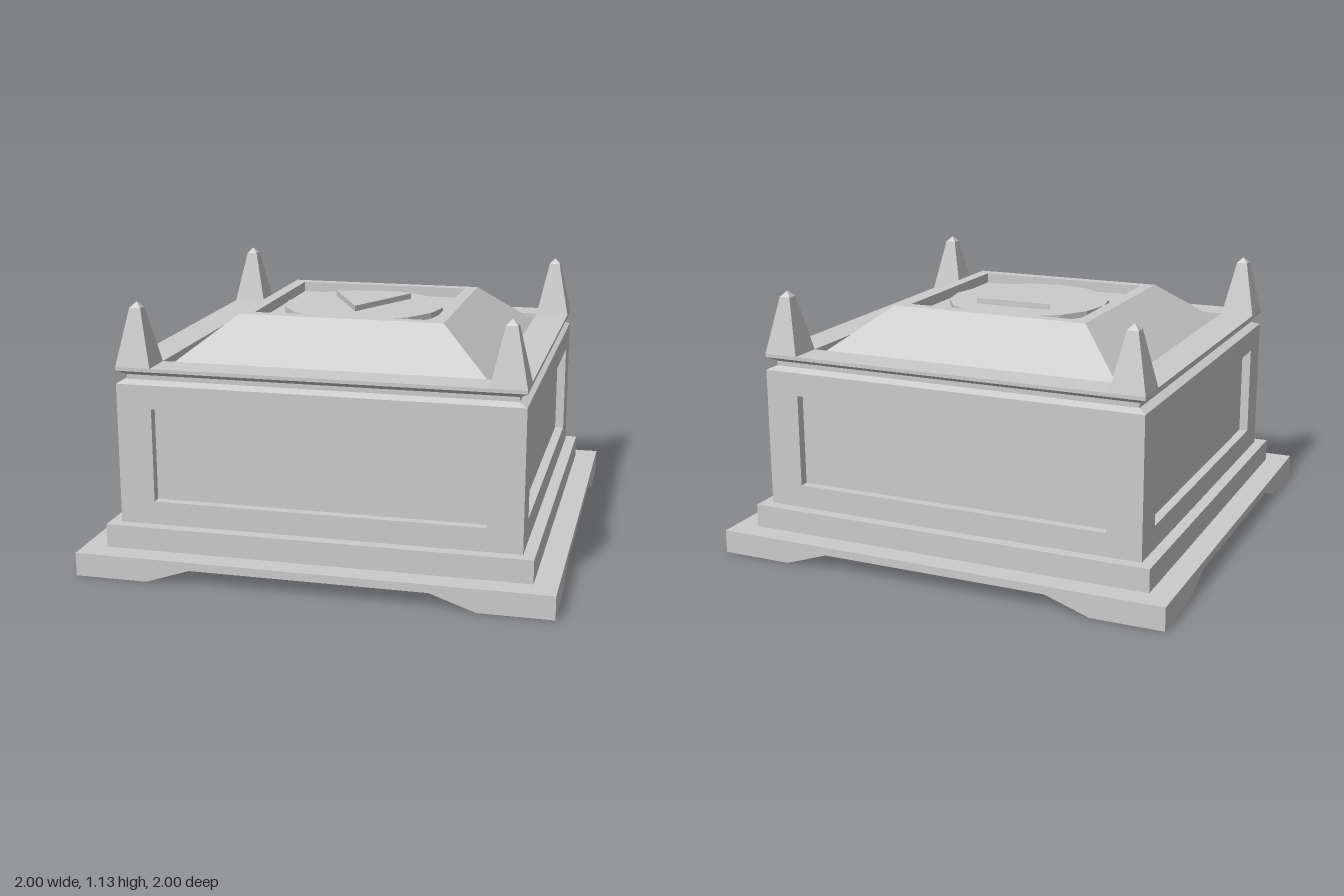
import * as THREE from 'three';

const material = new THREE.MeshStandardMaterial({ color: 0xcccccc, flatShading: true, side: THREE.DoubleSide });

function addMesh(parent, name, geometry) {
  const flat = geometry.index ? geometry.toNonIndexed() : geometry;
  flat.computeVertexNormals();
  const mesh = new THREE.Mesh(flat, material);
  mesh.name = name;
  parent.add(mesh);
  return mesh;
}

// Square shell swept around the y axis; profile holds [half width, height]
function squareShell(profile) {
  const points = profile.map(([half, y]) => new THREE.Vector2(half * Math.SQRT2, y));
  return new THREE.LatheGeometry(points, 4).rotateY(Math.PI / 4);
}

function polygon(points) {
  return new THREE.Shape(points.map(([x, y]) => new THREE.Vector2(x, y)));
}

// One side: notched base board, wall with an opening, and a sunken panel
function createSide(name) {
  const side = new THREE.Group();
  side.name = name;

  const board = polygon([[-1, 0], [-0.69, 0], [-0.5, 0.065], [0.5, 0.065], [0.69, 0], [1, 0], [1, 0.1], [-1, 0.1]]);
  addMesh(side, 'baseBoard', new THREE.ShapeGeometry(board)).position.z = 1;

  const wall = polygon([[-0.85, 0.2], [0.85, 0.2], [0.85, 0.8], [-0.85, 0.8]]);
  wall.holes.push(polygon([[-0.7, 0.3], [-0.7, 0.7], [0.7, 0.7], [0.7, 0.3]]));
  addMesh(side, 'wall', new THREE.ShapeGeometry(wall)).position.z = 0.85;

  const reveal = new THREE.CylinderGeometry(Math.SQRT1_2, Math.SQRT1_2, 1, 4, 1, true)
    .rotateY(Math.PI / 4).rotateX(Math.PI / 2).scale(1.4, 0.4, 0.04);
  addMesh(side, 'panelReveal', reveal).position.set(0, 0.5, 0.83);
  addMesh(side, 'sunkenPanel', new THREE.PlaneGeometry(1.4, 0.4)).position.set(0, 0.5, 0.81);
  return side;
}

export function createModel() {
  const model = new THREE.Group();
  model.name = 'pedestalChest';

  ['frontSide', 'leftSide', 'backSide', 'rightSide'].forEach((name, i) => {
    const side = createSide(name);
    side.rotation.y = i * Math.PI / 2;
    model.add(side);
  });

  // Stepped plinth above the base boards
  addMesh(model, 'plinth', squareShell([[1, 0.1], [0.9, 0.1], [0.9, 0.2], [0.85, 0.2]]));

  // Grooved cornice with its flat rim
  addMesh(model, 'cornice', squareShell([
    [0.85, 0.8], [0.815, 0.815], [0.815, 0.835], [0.85, 0.855], [0.85, 0.87], [0.7, 0.87], [0.7, 0.83],
  ]));

  // Sloping lid with a sunken square in its top
  addMesh(model, 'lid', squareShell([[0.7, 0.83], [0.445, 1.035], [0.392, 1.035], [0.392, 0.99], [0, 0.99]]));

  // Round medallion and raised triangle
  addMesh(model, 'medallion', new THREE.CylinderGeometry(0.36, 0.36, 0.025, 16)).position.y = 1.0025;
  const triangle = polygon([[-0.177, -0.18], [0.177, -0.18], [0, 0.177]]);
  const triangleGeometry = new THREE.ExtrudeGeometry(triangle, { depth: 0.025, bevelEnabled: false }).rotateX(Math.PI / 2);
  addMesh(model, 'raisedTriangle', triangleGeometry).position.y = 1.04;

  // Four tapering corner finials
  for (const x of [-1, 1]) {
    for (const z of [-1, 1]) {
      const finial = squareShell([[0.075, 0.87], [0.024, 1.11], [0, 1.135]]);
      addMesh(model, 'cornerFinial', finial).position.set(x * 0.775, 0, z * 0.775);
    }
  }
  return model;
}
